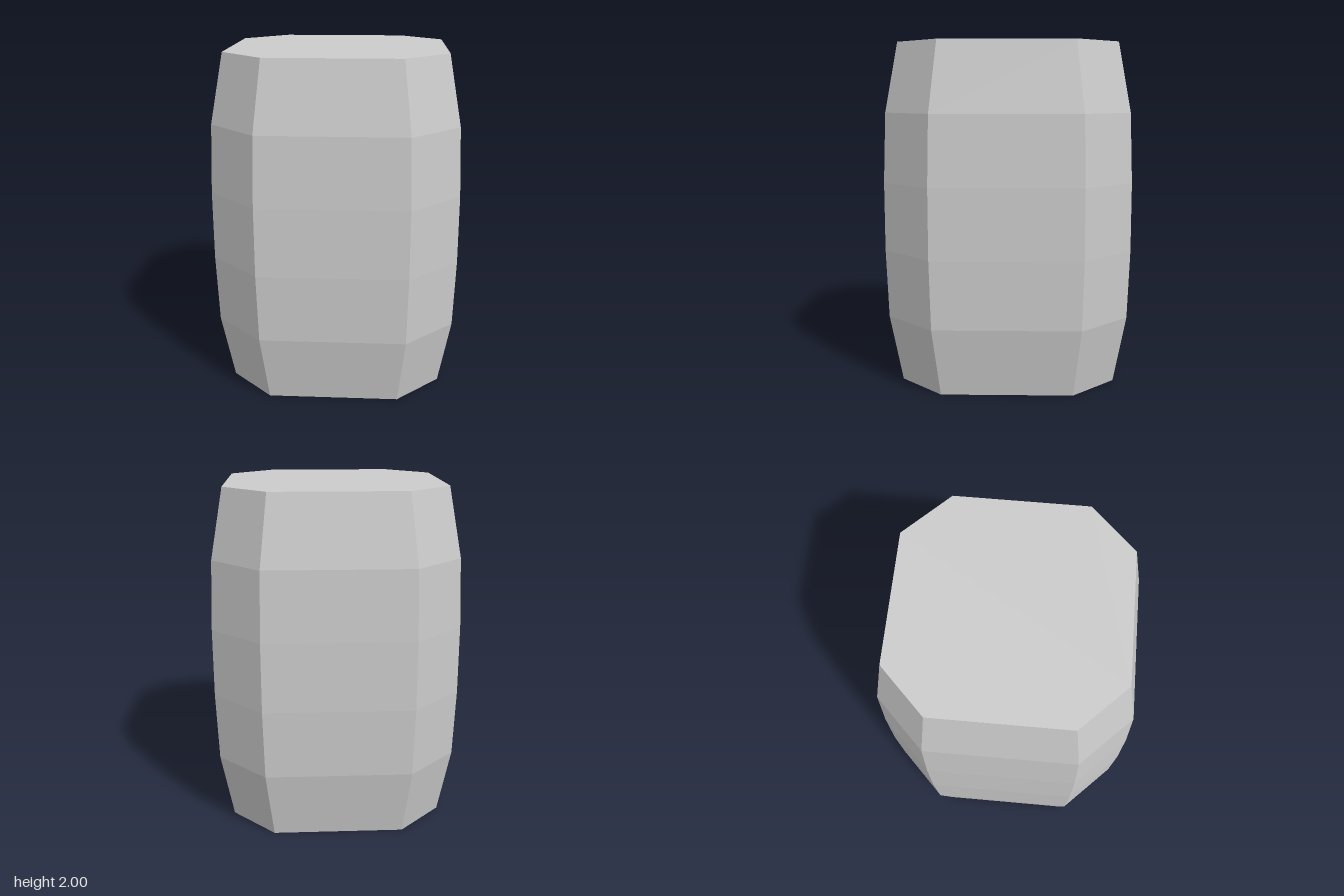
import * as THREE from 'three';

// Rings of the bulging barrel: [height, half width]
const RINGS = [[0, 0.63], [0.4, 0.7], [0.8, 0.714], [1.2, 0.714], [1.6, 0.7], [2, 0.63]];
const CORNER = 0.6; // straight sides span this share of the width

// Eight corners of a square with cut corners, anticlockwise seen from above
function ringPoints([y, r]) {
  const c = r * CORNER;
  return [[-c, r], [c, r], [r, c], [r, -c], [c, -r], [-c, -r], [-r, -c], [-r, c]]
    .map(([x, z]) => [x, y, z]);
}

function facetedMesh(name, triangles, material) {
  const geometry = new THREE.BufferGeometry();
  geometry.setAttribute('position', new THREE.Float32BufferAttribute(triangles.flat(), 3));
  geometry.computeVertexNormals();
  const mesh = new THREE.Mesh(geometry, material);
  mesh.name = name;
  return mesh;
}

export function createModel() {
  const group = new THREE.Group();
  group.name = 'barrel';
  const material = new THREE.MeshStandardMaterial({ color: 0xcccccc, flatShading: true });
  const rings = RINGS.map(ringPoints);

  // Side wall: quads between neighbouring rings
  const wall = [];
  for (let k = 0; k < rings.length - 1; k++) {
    const low = rings[k], high = rings[k + 1];
    for (let i = 0; i < 8; i++) {
      const j = (i + 1) % 8;
      wall.push(low[i], low[j], high[j], low[i], high[j], high[i]);
    }
  }
  group.add(facetedMesh('barrelWall', wall, material));

  // Flat ends
  const top = [], bottom = [];
  const upper = rings[rings.length - 1], lower = rings[0];
  for (let i = 1; i < 7; i++) {
    top.push(upper[0], upper[i], upper[i + 1]);
    bottom.push(lower[0], lower[i + 1], lower[i]);
  }
  group.add(facetedMesh('barrelTop', top, material));
  group.add(facetedMesh('barrelBottom', bottom, material));
  return group;
}
